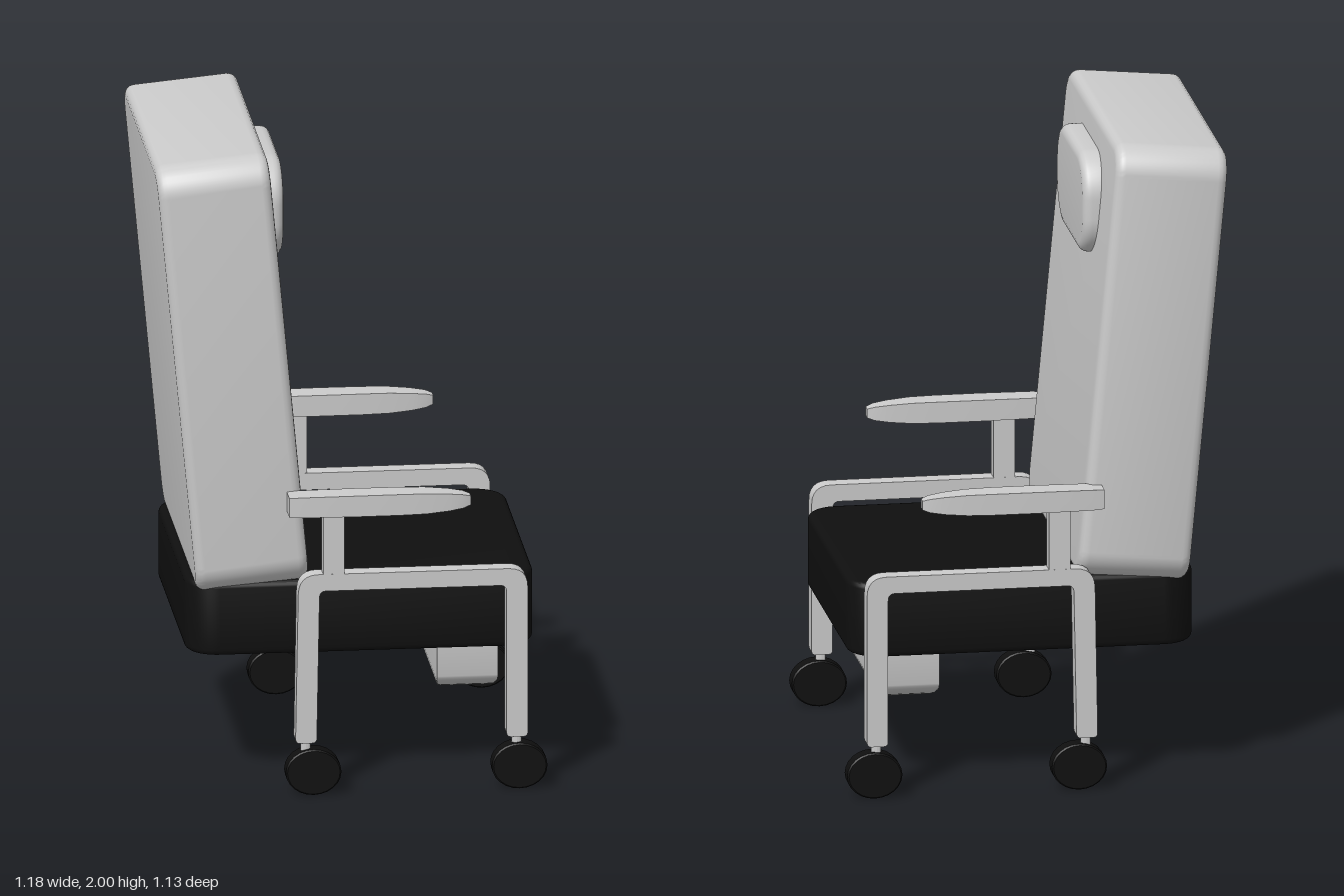
import * as THREE from 'three';
import { toCreasedNormals } from 'three/addons/utils/BufferGeometryUtils.js';

const grey = new THREE.MeshStandardMaterial({ color: 0xcccccc });
const black = new THREE.MeshStandardMaterial({ color: 0x0f0f0f });

function add(parent, name, geometry, material, x = 0, y = 0, z = 0) {
  const mesh = new THREE.Mesh(toCreasedNormals(geometry, 0.6), material);
  mesh.name = name;
  mesh.position.set(x, y, z);
  parent.add(mesh);
  return mesh;
}

// Rounded slab centred on the origin: w by h outline, thickness t along z
function slab(w, h, t, r, bevel) {
  const a = w / 2 - bevel, b = h / 2 - bevel, q = Math.max(r - bevel, 0.01);
  const s = new THREE.Shape();
  s.absarc(a - q, b - q, q, 0, Math.PI / 2);
  s.absarc(-a + q, b - q, q, Math.PI / 2, Math.PI);
  s.absarc(-a + q, -b + q, q, Math.PI, Math.PI * 1.5);
  s.absarc(a - q, -b + q, q, Math.PI * 1.5, Math.PI * 2);
  const depth = t - 2 * bevel;
  return new THREE.ExtrudeGeometry(s, {
    depth, bevelSize: bevel, bevelThickness: bevel, bevelSegments: 4, curveSegments: 8,
  }).translate(0, 0, -depth / 2);
}

// Moves every vertex of a geometry by a rule
function reshape(geometry, rule) {
  const p = geometry.attributes.position, v = new THREE.Vector3();
  for (let i = 0; i < p.count; i++) {
    rule(v.fromBufferAttribute(p, i));
    p.setXYZ(i, v.x, v.y, v.z);
  }
  return geometry;
}

// Arm pad: a bar tapering to a blunt nose; [x, half width, half height]
function armPadGeometry() {
  const sections = [
    [-0.2, 0.035, 0.03], [-0.16, 0.039, 0.032], [0, 0.041, 0.033], [0.14, 0.04, 0.033],
    [0.22, 0.037, 0.032], [0.29, 0.031, 0.027], [0.335, 0.024, 0.021], [0.357, 0.015, 0.014],
  ];
  const n = sections.length - 1;
  return reshape(new THREE.BoxGeometry(n, 2, 2, n, 1, 1), (v) => {
    const [x, hw, hh] = sections[Math.round(v.x + n / 2)];
    v.set(x, v.y * hh, v.z * hw);
  });
}

// Side frame: inverted U with rounded shoulders
function frameGeometry() {
  const s = new THREE.Shape();
  s.moveTo(-0.18, 0.18);
  s.lineTo(-0.172, 0.64);
  s.quadraticCurveTo(-0.17, 0.7, -0.11, 0.7);
  s.lineTo(0.47, 0.7);
  s.quadraticCurveTo(0.53, 0.7, 0.53, 0.64);
  s.lineTo(0.53, 0.18);
  s.quadraticCurveTo(0.53, 0.165, 0.515, 0.165);
  s.lineTo(0.48, 0.165);
  s.quadraticCurveTo(0.465, 0.165, 0.465, 0.18);
  s.lineTo(0.465, 0.625);
  s.quadraticCurveTo(0.465, 0.647, 0.445, 0.647);
  s.lineTo(-0.088, 0.647);
  s.quadraticCurveTo(-0.107, 0.647, -0.107, 0.625);
  s.lineTo(-0.115, 0.18);
  s.quadraticCurveTo(-0.115, 0.165, -0.13, 0.165);
  s.lineTo(-0.165, 0.165);
  s.quadraticCurveTo(-0.18, 0.165, -0.18, 0.18);
  return new THREE.ExtrudeGeometry(s, { depth: 0.055, bevelEnabled: false, curveSegments: 6 })
    .translate(0, 0, -0.0275);
}

// Oval caster wheel with chamfered rims
function wheelGeometry() {
  const profile = [[0, -0.03], [0.068, -0.03], [0.072, -0.025], [0.072, 0.025], [0.068, 0.03], [0, 0.03]]
    .map(([r, y]) => new THREE.Vector2(r, y));
  return new THREE.LatheGeometry(profile, 24).rotateX(Math.PI / 2).scale(1.18, 1, 1);
}

// Footrest: flat top, underside rounded both across and along
function footrestGeometry() {
  const hx = 0.093, hz = 0.348;
  return reshape(new THREE.BoxGeometry(2, 1, 2, 16, 1, 28), (v) => {
    const u = Math.sin(v.x * Math.PI / 2), w = Math.sin(v.z * Math.PI / 2);
    const across = 0.285 - 0.075 * Math.sqrt(Math.max(0, 1 - u * u));
    const along = 0.3 - 0.09 * Math.pow(Math.max(0, 1 - w * w), 0.6);
    v.set(u * hx, v.y > 0 ? 0.43 : Math.max(across, along), w * hz);
  });
}

export function createModel() {
  const chair = new THREE.Group();
  chair.name = 'armchair';

  // Seat and reclined back
  add(chair, 'seat', slab(1.063, 0.906, 0.232, 0.1, 0.018).rotateX(-Math.PI / 2),
    black, 0.033, 0.535, -0.008);
  const lean = 0.093;
  add(chair, 'backrest', slab(0.993, 1.36, 0.345, 0.09, 0.03).rotateY(Math.PI / 2).rotateZ(lean),
    grey, -0.362, 1.311, -0.011);
  add(chair, 'headrest', slab(0.53, 0.32, 0.11, 0.13, 0.028).rotateY(Math.PI / 2),
    grey, -0.236, 1.751, -0.02);
  add(chair, 'footrest', footrestGeometry(), grey, 0.368, 0, -0.007);

  // Armrests, side frames and casters on both sides
  for (const side of [1, -1]) {
    const group = new THREE.Group();
    group.name = side > 0 ? 'leftSide' : 'rightSide';
    group.position.z = -0.003 + side * 0.524;
    add(group, 'armPad', armPadGeometry(), grey, 0, 0.917, 0);
    add(group, 'armPost', new THREE.BoxGeometry(0.065, 0.23, 0.054), grey, -0.063, 0.785, 0);
    add(group, 'sideFrame', frameGeometry(), grey);
    for (const [x, legX] of [[-0.125, -0.147], [0.505, 0.498]]) {
      add(group, 'casterStem', new THREE.CylinderGeometry(0.016, 0.016, 0.06, 12), grey, legX, 0.15, 0.002);
      add(group, 'casterWheel', wheelGeometry(), black, x, 0.073, 0.004);
    }
    chair.add(group);
  }
  return chair;
}
